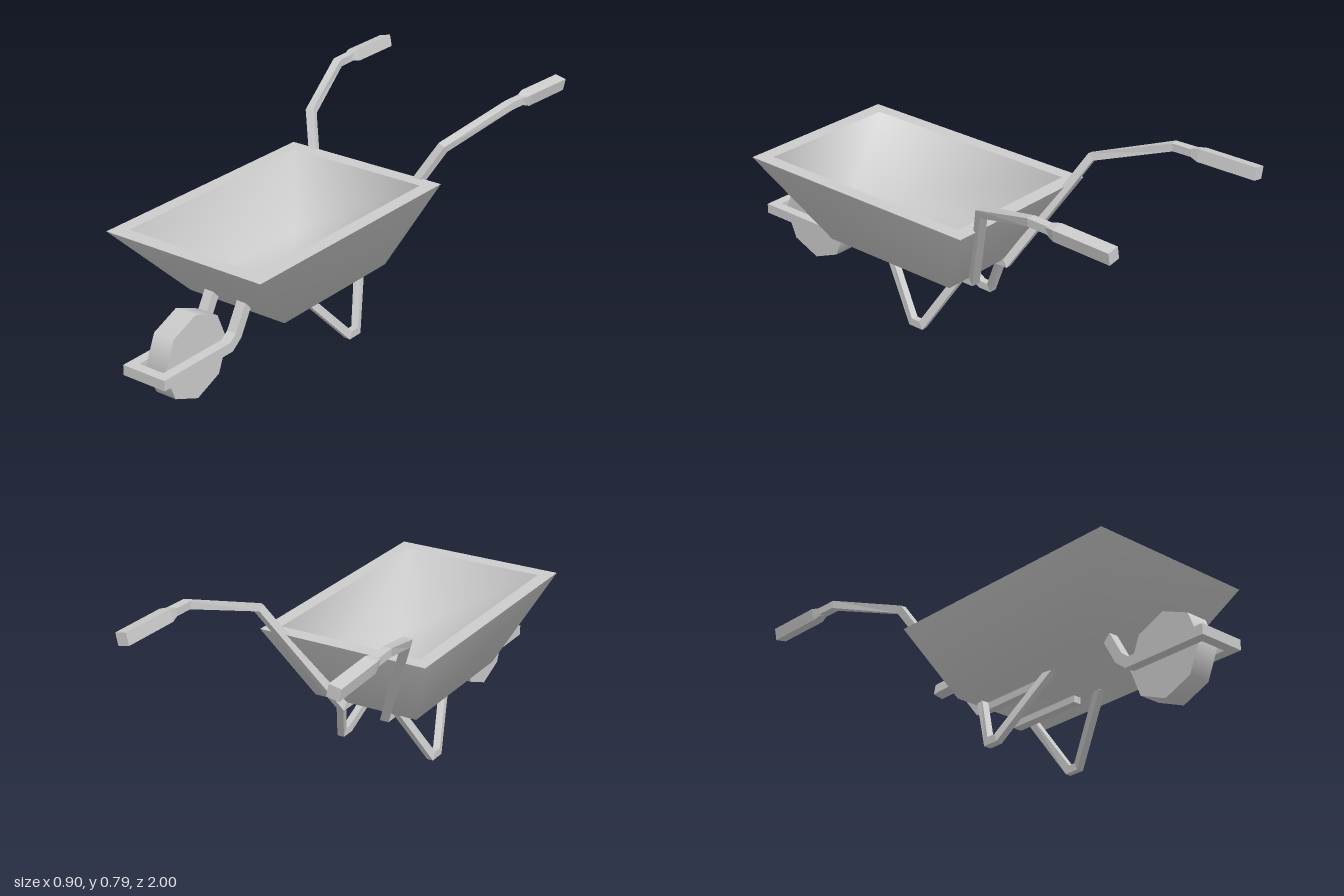
import * as THREE from 'three';

const grey = new THREE.MeshStandardMaterial({ color: 0xcccccc });

// Skin a list of four-cornered rings, optionally closing the ends
function loft(rings, { smooth = false, startCap = false, endCap = false } = {}) {
  const index = [];
  for (let r = 0; r < rings.length - 1; r++) {
    for (let i = 0; i < 4; i++) {
      const j = (i + 1) % 4, a = r * 4, b = a + 4;
      index.push(a + i, a + j, b + j, a + i, b + j, b + i);
    }
  }
  const e = (rings.length - 1) * 4;
  if (startCap) index.push(2, 1, 0, 3, 2, 0);
  if (endCap) index.push(e, e + 1, e + 2, e, e + 2, e + 3);
  let geo = new THREE.BufferGeometry().setFromPoints(rings.flat());
  geo.setIndex(index);
  if (!smooth) geo = geo.toNonIndexed();
  geo.computeVertexNormals();
  return geo;
}

// Square bar with mitred bends; each point is [x, y, z, width, height]
function bar(points, roll = 0) {
  const p = points.map(([x, y, z]) => new THREE.Vector3(x, y, z));
  const dir = (i) => p[i + 1].clone().sub(p[i]).normalize();
  const last = p.length - 1;
  const rings = p.map((c, i) => {
    const before = dir(Math.max(i - 1, 0)), after = dir(Math.min(i, last - 1));
    const t = before.clone().add(after).normalize();
    const mitre = 1 / t.dot(after);
    const side = new THREE.Vector3(1, 0, 0).addScaledVector(t, -t.x).normalize();
    side.applyAxisAngle(t, roll);
    const up = t.clone().cross(side);
    const [w, h] = points[i].slice(3);
    return [[1, 1], [-1, 1], [-1, -1], [1, -1]].map(([s, u]) => c.clone()
      .addScaledVector(side, s * w / 2)
      .addScaledVector(up, u * h / 2 * mitre));
  });
  return loft(rings, { startCap: true, endCap: true });
}

// Horizontal rectangle, counter-clockwise from above
function rectangle(halfX, back, front, y) {
  return [[1, front], [1, back], [-1, back], [-1, front]]
    .map(([s, z]) => new THREE.Vector3(s * halfX, y, z));
}

export function createModel() {
  const model = new THREE.Group();
  const add = (name, geo, parent = model) => {
    const mesh = new THREE.Mesh(geo, grey);
    mesh.name = name;
    parent.add(mesh);
    return mesh;
  };

  // Tray: outer shell, flat rim and inner basin
  const tray = new THREE.Group();
  tray.name = 'tray';
  model.add(tray);
  const outerBase = rectangle(0.22, -0.11, 0.5, 0.24);
  const outerTop = rectangle(0.35, -0.28, 0.79, 0.545);
  const innerTop = rectangle(0.295, -0.22, 0.73, 0.545);
  const innerBase = rectangle(0.2, -0.1, 0.48, 0.27);
  add('trayOuter', loft([outerBase, outerTop], { smooth: true, startCap: true }), tray);
  add('trayRim', loft([outerTop, innerTop]), tray);
  add('trayInner', loft([innerTop, innerBase], { smooth: true, endCap: true }), tray);

  // Eight-sided wheel, standing on one corner
  const wheel = new THREE.CylinderGeometry(0.165, 0.165, 0.09, 8);
  wheel.rotateZ(Math.PI / 2);
  add('wheel', wheel).position.set(0, 0.165, 0.775);

  // Bar across the front of the wheel fork
  add('forkFront', new THREE.BoxGeometry(0.19, 0.04, 0.04)).position.set(0, 0.165, 0.98);

  for (const [name, s] of [['left', 1], ['right', -1]]) {
    const path = (w, h, pts) => pts.map(([x, y, z]) => [s * x, y, z, w, h]);

    // Fork arm from the front bar up into the tray
    add(name + 'ForkArm', bar(path(0.04, 0.04, [
      [0.075, 0.165, 0.965], [0.075, 0.165, 0.645],
      [0.075, 0.195, 0.605], [0.075, 0.3, 0.545],
    ])));

    // V-shaped leg
    add(name + 'Leg', bar(path(0.028, 0.03, [
      [0.12, 0.25, 0.295], [0.2, 0.02, 0.093],
      [0.2, 0.02, 0.045], [0.12, 0.25, -0.085],
    ])));

    // Handle: under the tray, up its back, then out to the grip
    add(name + 'Handle', bar(path(0.034, 0.03, [
      [0.095, 0.228, 0.2], [0.095, 0.228, -0.122], [0.312, 0.663, -0.345],
      [0.407, 0.762, -0.645], [0.412, 0.762, -0.76],
    ])));

    // Grip, flared from the handle
    add(name + 'Grip', bar([
      [s * 0.41, 0.762, -0.725, 0.034, 0.03],
      [s * 0.412, 0.76, -0.76, 0.048, 0.048],
      [s * 0.42, 0.757, -1, 0.048, 0.048],
    ], s * 0.2));
  }

  return model;
}
